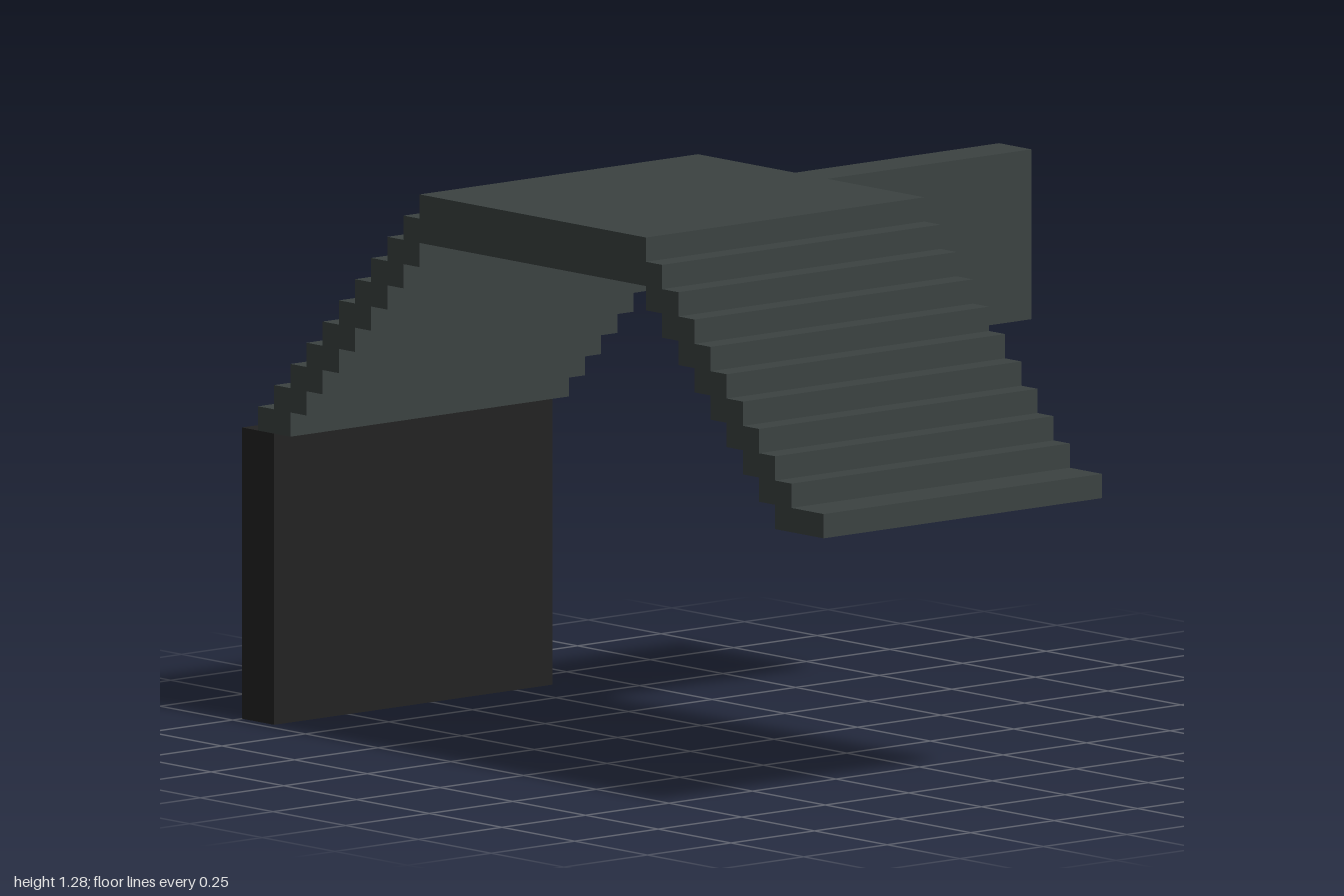
import * as THREE from 'three';

const U = 1 / 18; // one grid unit; every part is a whole number of half steps
const BASE = 12 * U; // height of the lowest stair
const BACK = -2 * U, FRONT = 13 * U;

const stone = new THREE.MeshStandardMaterial({ color: 0x3b4241 });
stone.name = 'greyStone';
const dark = new THREE.MeshStandardMaterial({ color: 0x222222 });
dark.name = 'darkStone';

// Box given by its extents on each axis
function block(name, material, [x0, x1], [y0, y1], [z0, z1]) {
  const mesh = new THREE.Mesh(new THREE.BoxGeometry(x1 - x0, y1 - y0, z1 - z0), material);
  mesh.position.set((x0 + x1) / 2, (y0 + y1) / 2, (z0 + z1) / 2);
  mesh.name = name;
  return mesh;
}

// Flight of ten thin overlapping steps climbing towards the middle
function stairs(name, side) {
  const group = new THREE.Group();
  group.name = name;
  for (let i = 0; i < 10; i++) {
    const outer = i === 0 && side > 0 ? 18 : 17 - i; // left flight ends in a wider tread
    const inner = Math.max(15 - i, 7); // top step stops at the platform
    const xs = [side * inner * U, side * outer * U].sort((a, b) => a - b);
    group.add(block('step', stone, xs, [BASE + i * U, BASE + (i + 1) * U], [BACK, FRONT]));
  }
  return group;
}

export function createModel() {
  const model = new THREE.Group();
  model.name = 'stairBridge';
  const top = BASE + 11 * U;
  model.add(
    block('platform', stone, [-7 * U, 7 * U], [top - 2 * U, top], [BACK, FRONT]),
    stairs('leftStairs', 1),
    stairs('rightStairs', -1),
    block('rearBeam', stone, [-U, U], [top - 7 * U, top], [-13 * U, BACK]),
    block('supportWall', dark, [-18 * U, -16 * U], [0, BASE], [BACK, FRONT]),
  );
  return model;
}
